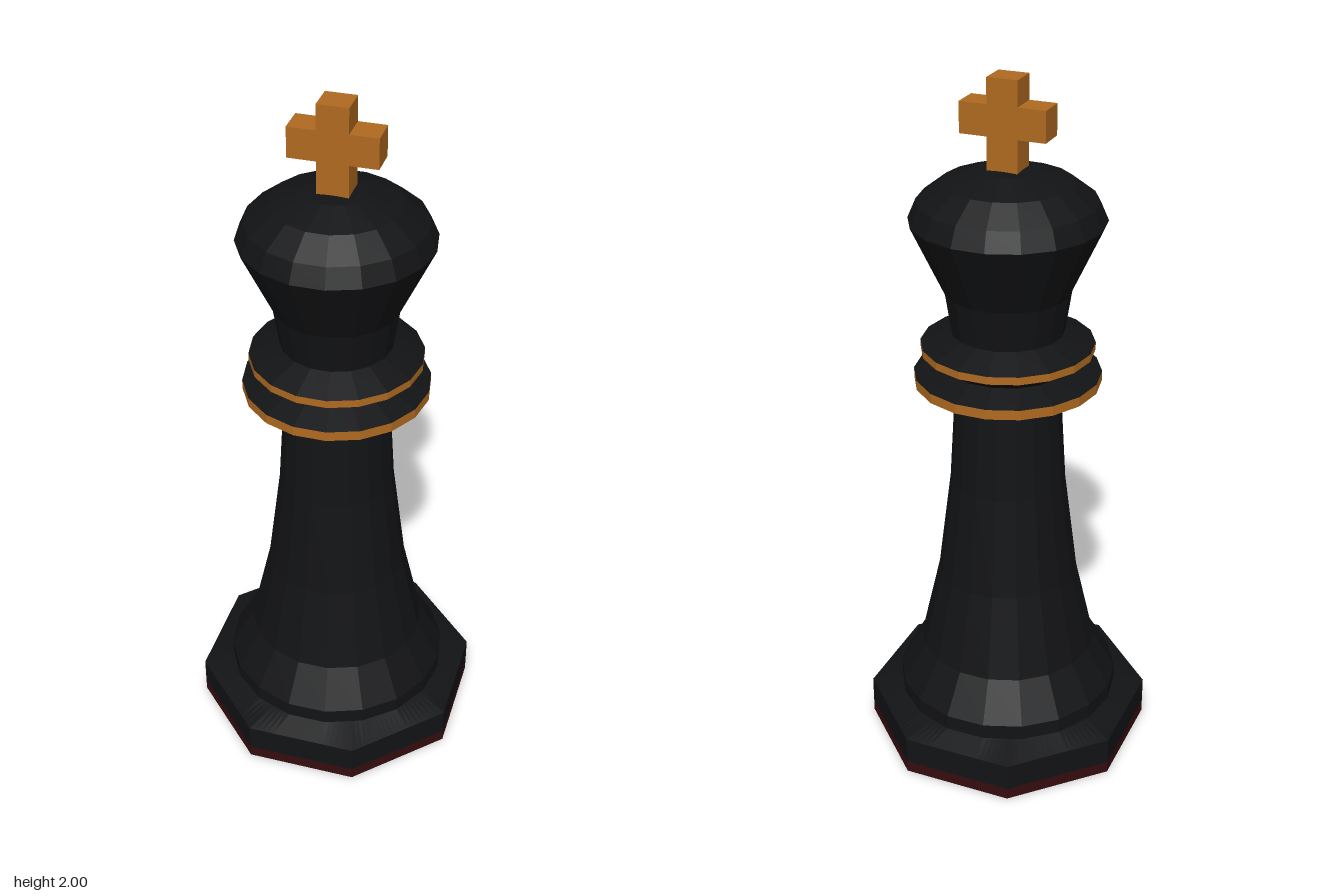
import * as THREE from 'three';

const SIDES = 18;
const paint = (color) => new THREE.MeshStandardMaterial({ color, flatShading: true });

// Radius of a regular polygon (given its apothem) in direction a
function polygonRadius(a, sides, apothem, offset) {
  const step = (2 * Math.PI) / sides;
  const t = a - offset;
  return apothem / Math.cos(t - Math.round(t / step) * step);
}

export function createModel() {
  const group = new THREE.Group();
  const black = paint(0x121315);
  const gold = paint(0xb06a20);
  const felt = paint(0x360d0f);

  const add = (name, geometry, material) => {
    const mesh = new THREE.Mesh(geometry, material);
    mesh.name = name;
    group.add(mesh);
  };
  // Turned part with a corner on the x axis
  const turned = (name, profile, material) => {
    const points = profile.map(([r, y]) => new THREE.Vector2(r, y));
    add(name, new THREE.LatheGeometry(points, SIDES).rotateY(Math.PI / 2), material);
  };
  // Octagonal slab with flat sides facing the axes
  const octagon = (name, y0, y1, material) => {
    const r = 0.385 / Math.cos(Math.PI / 8);
    const geometry = new THREE.CylinderGeometry(r, r, y1 - y0, 8);
    add(name, geometry.rotateY(Math.PI / 8).translate(0, (y0 + y1) / 2, 0), material);
  };

  // Base
  octagon('feltPad', 0, 0.035, felt);
  octagon('base', 0.035, 0.115, black);

  // Slope blending the octagon into the round foot
  const slope = new THREE.CylinderGeometry(1, 1, 0.025, 144, 1, true).translate(0, 0.1275, 0);
  const pos = slope.attributes.position;
  for (let i = 0; i < pos.count; i++) {
    const a = Math.atan2(pos.getZ(i), pos.getX(i));
    const r = pos.getY(i) < 0.1275
      ? polygonRadius(a, 8, 0.385, 0)
      : polygonRadius(a, SIDES, 0.325 * Math.cos(Math.PI / SIDES), Math.PI / SIDES);
    pos.setX(i, r * Math.cos(a));
    pos.setZ(i, r * Math.sin(a));
  }
  add('baseSlope', slope, black);

  // Shaft, collars and head
  turned('shaft', [[0.325, 0.14], [0.325, 0.185], [0.258, 0.3], [0.202, 0.545],
    [0.165, 0.84], [0.15, 1.095], [0.262, 1.147]], black);
  turned('lowerBand', [[0.262, 1.147], [0.262, 1.175]], gold);
  turned('collarGroove', [[0.262, 1.175], [0.182, 1.202], [0.242, 1.24]], black);
  turned('upperBand', [[0.242, 1.24], [0.242, 1.262]], gold);
  turned('head', [[0.242, 1.262], [0.157, 1.297], [0.175, 1.415], [0.268, 1.615],
    [0.245, 1.668], [0.178, 1.72], [0.085, 1.752], [0, 1.76]], black);

  // Cross finial
  const w = 0.043, arm = 0.121, low = 1.845, high = 1.93;
  const right = [[w, 1.74], [w, low], [arm, low], [arm, high], [w, high], [w, 2]];
  const left = right.map(([x, y]) => [-x, y]).reverse();
  const outline = new THREE.Shape([...right, ...left].map(([x, y]) => new THREE.Vector2(x, y)));
  const cross = new THREE.ExtrudeGeometry(outline, { depth: 0.08, bevelEnabled: false });
  add('cross', cross.translate(0, 0, -0.04), gold);

  return group;
}
